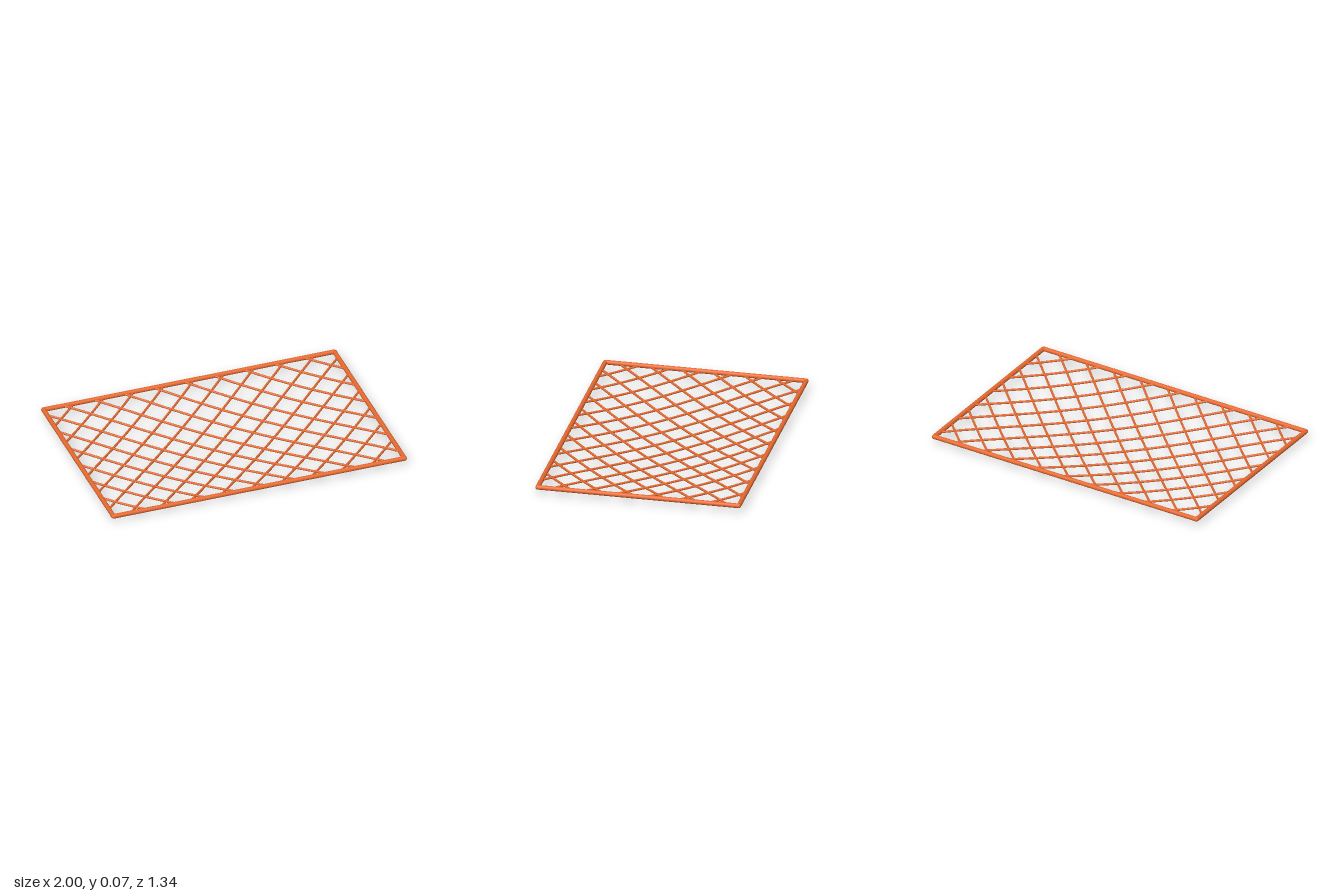
import * as THREE from 'three';

const HALF_X = 0.985, HALF_Z = 0.656; // frame centre lines
const FRAME_R = 0.015, CORD_R = 0.0075;
const FRAME_Y = 0.052, SAG = FRAME_Y - CORD_R;
const PITCH = 0.2035, OFFSET = -0.621; // spacing and phase of the diagonal cords

const material = new THREE.MeshStandardMaterial({ color: 0xe86a30 });

function add(parent, name, geometry) {
  const mesh = new THREE.Mesh(geometry, material);
  mesh.name = name;
  parent.add(mesh);
  return mesh;
}

// Height of the sagging net: level at the frame, lowest in the middle
function netHeight(x, z) {
  return FRAME_Y - SAG * (1 - (x / HALF_X) ** 2) * (1 - (z / HALF_Z) ** 2);
}

// One diagonal cord along dir * x + z = c, clipped to the frame
function cordGeometry(dir, c) {
  const ends = [(c - HALF_Z) * dir, (c + HALF_Z) * dir];
  const x0 = Math.max(-HALF_X, Math.min(...ends));
  const x1 = Math.min(HALF_X, Math.max(...ends));
  const points = [];
  for (let i = 0; i <= 12; i++) {
    const x = x0 + (x1 - x0) * i / 12;
    const z = c - dir * x;
    points.push(new THREE.Vector3(x, netHeight(x, z), z));
  }
  return new THREE.TubeGeometry(new THREE.CatmullRomCurve3(points), 24, CORD_R, 8);
}

export function createModel() {
  const model = new THREE.Group();
  model.name = 'netPanel';

  // Rectangular frame of round bars with rounded corners
  const frame = new THREE.Group();
  frame.name = 'frame';
  model.add(frame);
  for (const s of [-1, 1]) {
    const long = add(frame, s > 0 ? 'frontBar' : 'backBar',
      new THREE.CylinderGeometry(FRAME_R, FRAME_R, HALF_X * 2, 16));
    long.rotation.z = Math.PI / 2;
    long.position.set(0, FRAME_Y, s * HALF_Z);

    const short = add(frame, s > 0 ? 'leftBar' : 'rightBar',
      new THREE.CylinderGeometry(FRAME_R, FRAME_R, HALF_Z * 2, 16));
    short.rotation.x = Math.PI / 2;
    short.position.set(s * HALF_X, FRAME_Y, 0);

    for (const t of [-1, 1]) {
      add(frame, 'corner', new THREE.SphereGeometry(FRAME_R, 16, 12))
        .position.set(s * HALF_X, FRAME_Y, t * HALF_Z);
    }
  }

  // Two crossing sets of diagonal cords
  const net = new THREE.Group();
  net.name = 'net';
  model.add(net);
  for (const dir of [-1, 1]) {
    for (let c = OFFSET - 4 * PITCH; c < HALF_X + HALF_Z - 0.02; c += PITCH) {
      add(net, dir > 0 ? 'cordA' : 'cordB', cordGeometry(dir, c));
    }
  }
  return model;
}
